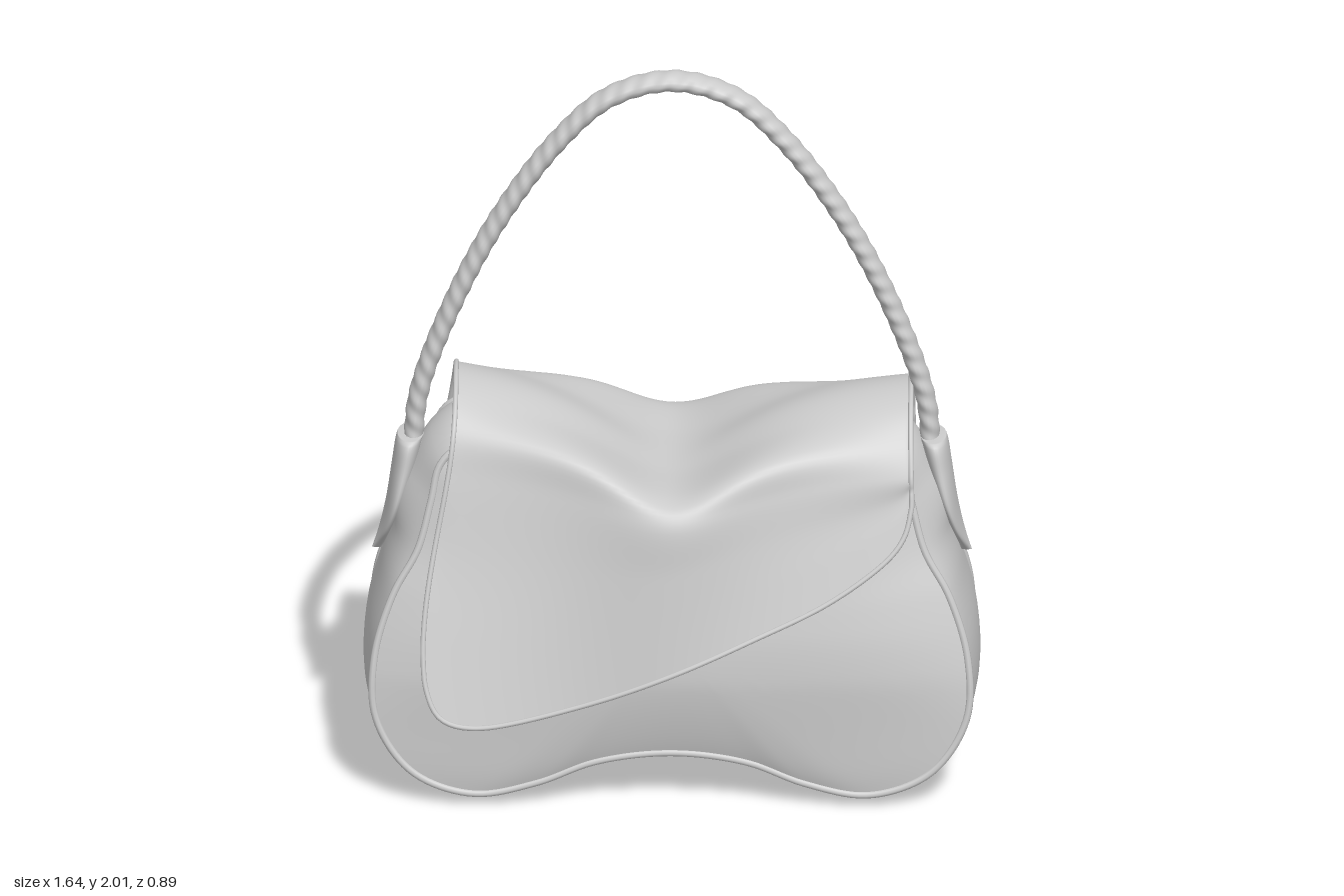
import * as THREE from 'three';
import { mergeVertices } from 'three/addons/utils/BufferGeometryUtils.js';

const { lerp, smoothstep, clamp } = THREE.MathUtils;
const V3 = (x, y, z) => new THREE.Vector3(x, y, z);
const V2 = ([x, y]) => new THREE.Vector2(x, y);

// Smooth surface from a rule f(u, v) -> Vector3; its front is du x dv
function surface(nu, nv, f) {
  const g = new THREE.PlaneGeometry(1, 1, nu, nv);
  const p = g.attributes.position, uv = g.attributes.uv;
  for (let i = 0; i < p.count; i++) {
    const q = f(uv.getX(i), uv.getY(i));
    p.setXYZ(i, q.x, q.y, q.z);
  }
  g.deleteAttribute('uv');
  g.deleteAttribute('normal');
  const m = mergeVertices(g, 1e-5);
  m.computeVertexNormals();
  return m;
}

// Body outline, counter-clockwise seen from the front
const half = [[0.2, 0.115], [0.36, 0.055], [0.53, 0.025], [0.69, 0.085], [0.785, 0.23], [0.79, 0.4],
  [0.74, 0.57], [0.675, 0.69], [0.64, 0.82], [0.615, 0.92], [0.56, 0.965], [0.43, 0.935], [0.22, 0.83]];
const outlinePts = [[0, 0.14], ...half, [0, 0.79], ...half.map(([x, y]) => [-x, y]).reverse()];
const outline = new THREE.CatmullRomCurve3(outlinePts.map(([x, y]) => V3(x, y, 0)), true);
// Half depth at the seam, narrowing towards the top
const depth = (y) => (y < 0.35 ? 0.28 + (0.35 - y) * 0.125 : 0.28 - (y - 0.35) * 0.2);

// Gusset strip: bulges outward between the two panels
function gusset(u, v) {
  const p = outline.getPoint(u % 1), t = outline.getTangent(u % 1), s = 2 * v - 1;
  let b = 0.025 + 0.065 * Math.exp(-(((p.y - 0.76) / 0.14) ** 2));
  if (p.y < 0.3) b += 0.075 * Math.exp(-((p.x / 0.34) ** 2));
  b *= 1 - s * s;
  return V3(p.x + t.y * b, p.y - t.x * b, s * depth(p.y));
}

// Front or back panel: outline drawn in towards the middle, domed outward
const panel = (side) => (u, v) => {
  const k = side > 0 ? 1 - v : v;
  const p = outline.getPoint(u % 1);
  const x = p.x * k, y = lerp(0.5, p.y, k);
  const dome = lerp(0.04, 0.08, smoothstep(y, 0.1, 0.5)) * (1 - k ** 4);
  return V3(x, y, side * (depth(y) + dome));
};

// Flap: slanted lower edge, pinched valley across the middle of the ridge
const flapEdge = new THREE.SplineCurve([[-0.66, 0.46], [-0.652, 0.37], [-0.615, 0.295], [-0.53, 0.27],
  [-0.4, 0.288], [-0.2, 0.345], [0, 0.42], [0.2, 0.5], [0.4, 0.585], [0.55, 0.68], [0.62, 0.755], [0.645, 0.84]].map(V2));

function flap(u, v) {
  const e = flapEdge.getPoint(u);
  const rx = lerp(-0.575, 0.637, (e.x + 0.66) / 1.305);
  const bell = 0.08 / (rx * rx + 0.08);
  const top = 0.88 + 0.25 * (1 - bell) + 0.065 * Math.max(0, -rx);
  const c = clamp((bell - 0.17) / 0.83, 0, 1), mid = 4 * c * (1 - c);
  const hang = (y) => lerp(0.26 + (0.8 - y) * 0.33, 0.37 + (0.84 - y) * 0.14, c);
  const sy = lerp(0.91, 0.835, c);
  const side = [[0.11, lerp(top - 0.025, top, c)],
    [lerp(0.19, 0.3, c) + 0.02 * mid, lerp(top - 0.1, top, c) + 0.025 * mid],
    [lerp(0.235, 0.37, c), sy]];
  for (const k of [0.33, 0.66, 1]) {
    const y = lerp(sy, e.y, k);
    side.push([hang(y), y]);
  }
  const section = [...[...side].reverse(), [0, top], ...side.map(([z, y]) => [-z, y])];
  const q = new THREE.SplineCurve(section.map(V2)).getPoint(v);
  const k = smoothstep(top - q.y, 0, top - Math.min(e.y, 0.6));
  return V3(lerp(rx, e.x, k), q.y, q.x);
}

// Rim that follows all four borders of the flap
function flapRim() {
  const pts = [], n = 40;
  for (const f of [(t) => [t, 0], (t) => [1, t], (t) => [1 - t, 1], (t) => [0, 1 - t]])
    for (let i = 0; i < n; i++) pts.push(flap(...f(i / n)));
  return new THREE.TubeGeometry(new THREE.CatmullRomCurve3(pts, true), 320, 0.007, 8, true);
}

// Handle: oval rope with twisted ridges
const arch = [[0.69, 0.9], [0.675, 1.05], [0.595, 1.29], [0.465, 1.56], [0.3, 1.8], [0.165, 1.925]];
const handlePath = new THREE.CatmullRomCurve3(
  [...arch, [0, 1.972], ...arch.map(([x, y]) => [-x, y]).reverse()].map(([x, y]) => V3(x, y, 0)));

function handle(u, v) {
  const p = handlePath.getPointAt(u), t = handlePath.getTangentAt(u), a = v * Math.PI * 2;
  const r = 1 + 0.05 * Math.cos(2 * a - u * Math.PI * 100);
  const n = Math.cos(a) * 0.026 * r, z = Math.sin(a) * 0.042 * r;
  return V3(p.x + t.y * n, p.y - t.x * n, z);
}

// Tab: pointed leather end that holds the handle
const tabRows = new THREE.CatmullRomCurve3([[0.695, 0.94, 0.06], [0.7, 0.925, 0.078], [0.712, 0.86, 0.09],
  [0.735, 0.76, 0.098], [0.758, 0.68, 0.068], [0.785, 0.6, 0.004]].map((r) => V3(...r)));
const tab = (side) => (u, v) => {
  const p = tabRows.getPoint(1 - v), a = u * Math.PI * 2;
  const open = v > 0.999 ? 0 : 1;
  const thick = lerp(0.014, 0.035, smoothstep(p.y, 0.62, 0.92)) * open;
  return V3(side * (p.x + thick * Math.cos(a)), p.y, -side * p.z * open * Math.sin(a));
};

export function createModel() {
  const bag = new THREE.Group();
  bag.name = 'handbag';
  const solid = new THREE.MeshStandardMaterial({ color: 0xcccccc, roughness: 0.7 });
  const thin = solid.clone();
  thin.side = THREE.DoubleSide;
  const add = (name, geometry, material = solid) => {
    const m = new THREE.Mesh(geometry, material);
    m.name = name;
    bag.add(m);
  };

  // Body with piped seams
  add('gusset', surface(160, 16, gusset));
  for (const [side, name] of [[1, 'front'], [-1, 'back']]) {
    add(name + 'Panel', surface(160, 20, panel(side)));
    const seam = outline.getPoints(120).slice(0, -1).map((p) => p.setZ(side * depth(p.y)));
    add(name + 'Piping', new THREE.TubeGeometry(new THREE.CatmullRomCurve3(seam, true), 240, 0.01, 8, true));
  }

  // Flap over the top
  add('flap', surface(100, 90, flap), thin);
  add('flapRim', flapRim());

  // Handle and its tabs
  add('handle', surface(500, 16, handle), thin);
  for (const [side, name] of [[1, 'left'], [-1, 'right']])
    add(name + 'HandleTab', surface(32, 30, tab(side)), thin);

  return bag;
}
